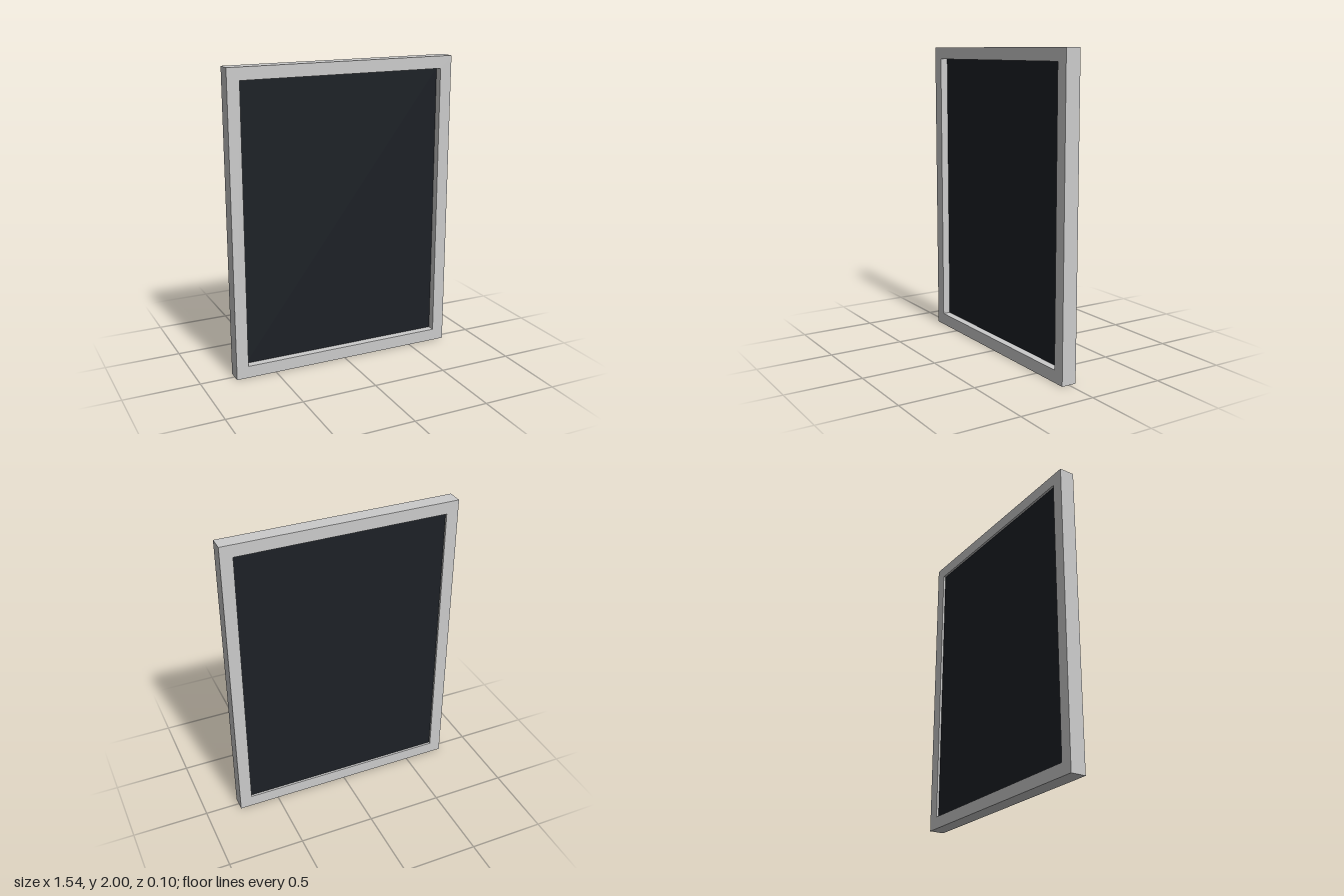
import * as THREE from 'three';

const W = 1.54, H = 2, D = 0.1; // outer size
const INNER_W = 1.38, INNER_H = 1.84; // opening

// Closed rectangle centred on the origin
function rectangle(PathType, w, h) {
  return new PathType([
    new THREE.Vector2(-w / 2, -h / 2),
    new THREE.Vector2(w / 2, -h / 2),
    new THREE.Vector2(w / 2, h / 2),
    new THREE.Vector2(-w / 2, h / 2),
  ]);
}

export function createModel() {
  const model = new THREE.Group();
  model.name = 'framedPanel';

  // Square-edged border with a rectangular opening
  const outline = rectangle(THREE.Shape, W, H);
  outline.holes.push(rectangle(THREE.Path, INNER_W, INNER_H));
  const frame = new THREE.Mesh(
    new THREE.ExtrudeGeometry(outline, { depth: D, bevelEnabled: false }),
    new THREE.MeshStandardMaterial({ color: 0xcccccc })
  );
  frame.name = 'frame';
  frame.position.set(0, H / 2, -D / 2);
  model.add(frame);

  // Dark panel, set deep behind the front and shallow behind the back
  const back = -0.035, front = 0;
  const panel = new THREE.Mesh(
    new THREE.BoxGeometry(INNER_W, INNER_H, front - back),
    new THREE.MeshStandardMaterial({ color: 0x1c2026 })
  );
  panel.name = 'panel';
  panel.position.set(0, H / 2, (front + back) / 2);
  model.add(panel);

  return model;
}
